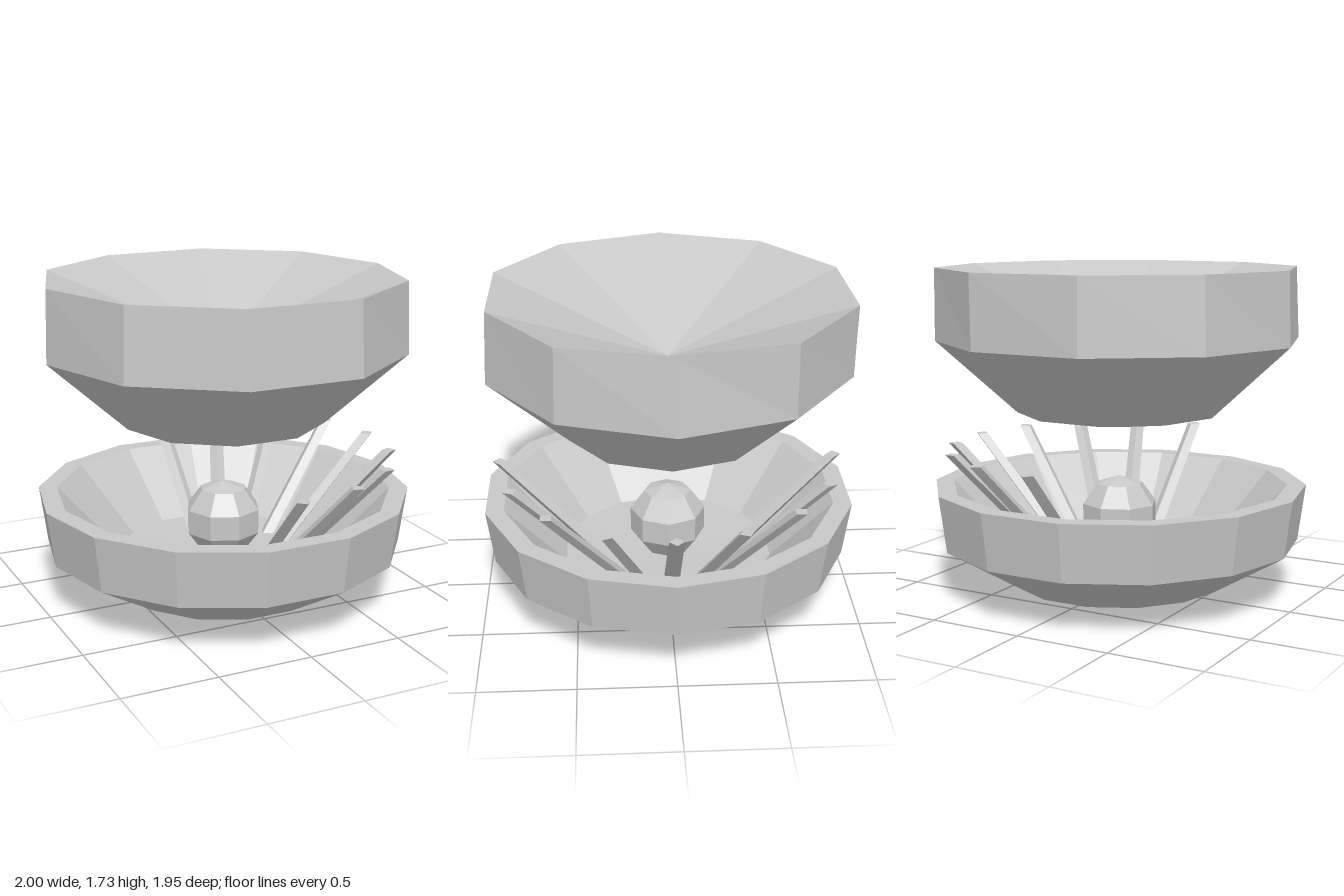
import * as THREE from 'three';

const grey = new THREE.MeshStandardMaterial({ color: 0xc8c8c8 });
grey.name = 'plainGrey';

// Faceted mesh: split the faces so each gets its own flat normal
function faceted(name, geometry) {
  const flat = geometry.index ? geometry.toNonIndexed() : geometry;
  flat.computeVertexNormals();
  const mesh = new THREE.Mesh(flat, grey);
  mesh.name = name;
  return mesh;
}

// Turned shape with a corner on the +x axis; profile is [radius, height] pairs
function turned(profile, sides) {
  const points = profile.map(([r, y]) => new THREE.Vector2(r, y));
  return new THREE.LatheGeometry(points, sides, Math.PI / 2);
}

export function createModel() {
  const group = new THREE.Group();
  group.name = 'flower';

  // Hollow lower bowl with a thick rim
  group.add(faceted('lowerBowl', turned([
    [0, 0], [0.575, 0.045], [0.96, 0.275], [1, 0.575],
    [0.9, 0.575], [0.57, 0.22], [0, 0.2],
  ], 14)));

  // Ball in the middle of the bowl
  const ball = faceted('centreBall', new THREE.SphereGeometry(0.213, 8, 5));
  ball.position.y = 0.4;
  group.add(ball);

  // Floating upper body with a dished top and a slightly uneven rim
  const upper = turned([
    [0, 0.875], [0.545, 0.965], [0.97, 1.35], [0.96, 1.73], [0, 1.36],
  ], 10);
  const rim = [
    [0.94, 0], [0.775, 0.56], [0.295, 0.905], [-0.3, 0.9], [-0.77, 0.56],
    [-0.96, 0], [-0.77, -0.56], [-0.295, -0.912], [0.3, -0.93], [0.78, -0.57],
  ];
  const p = upper.attributes.position;
  for (let i = 0; i < p.count; i++) {
    if (p.getY(i) < 1.7) continue;
    const k = Math.round(Math.atan2(p.getZ(i), p.getX(i)) / (Math.PI / 5));
    const [x, z] = rim[(k + 10) % 10];
    p.setXYZ(i, x, 1.73, z);
  }
  group.add(faceted('upperBody', upper));

  // Nine slanted bars fanned over one half, cut level at both ends
  const bars = new THREE.Group();
  bars.name = 'slantedBars';
  const bottom = 0.2, top = 0.77, lean = 0.93;
  for (let i = 0; i < 9; i++) {
    const bar = new THREE.CylinderGeometry(0.039, 0.043, top - bottom, 4);
    bar.translate(0, (bottom - top) / 2, 0);
    const shear = new THREE.Matrix4().set(
      1, lean, 0, 0.9,
      0, 1, 0, top,
      0, 0, 1, 0,
      0, 0, 0, 1,
    );
    bar.applyMatrix4(shear);
    bar.rotateY(-Math.PI / 2 + i * Math.PI / 8);
    bars.add(faceted('slantedBar', bar));
  }
  group.add(bars);

  return group;
}
